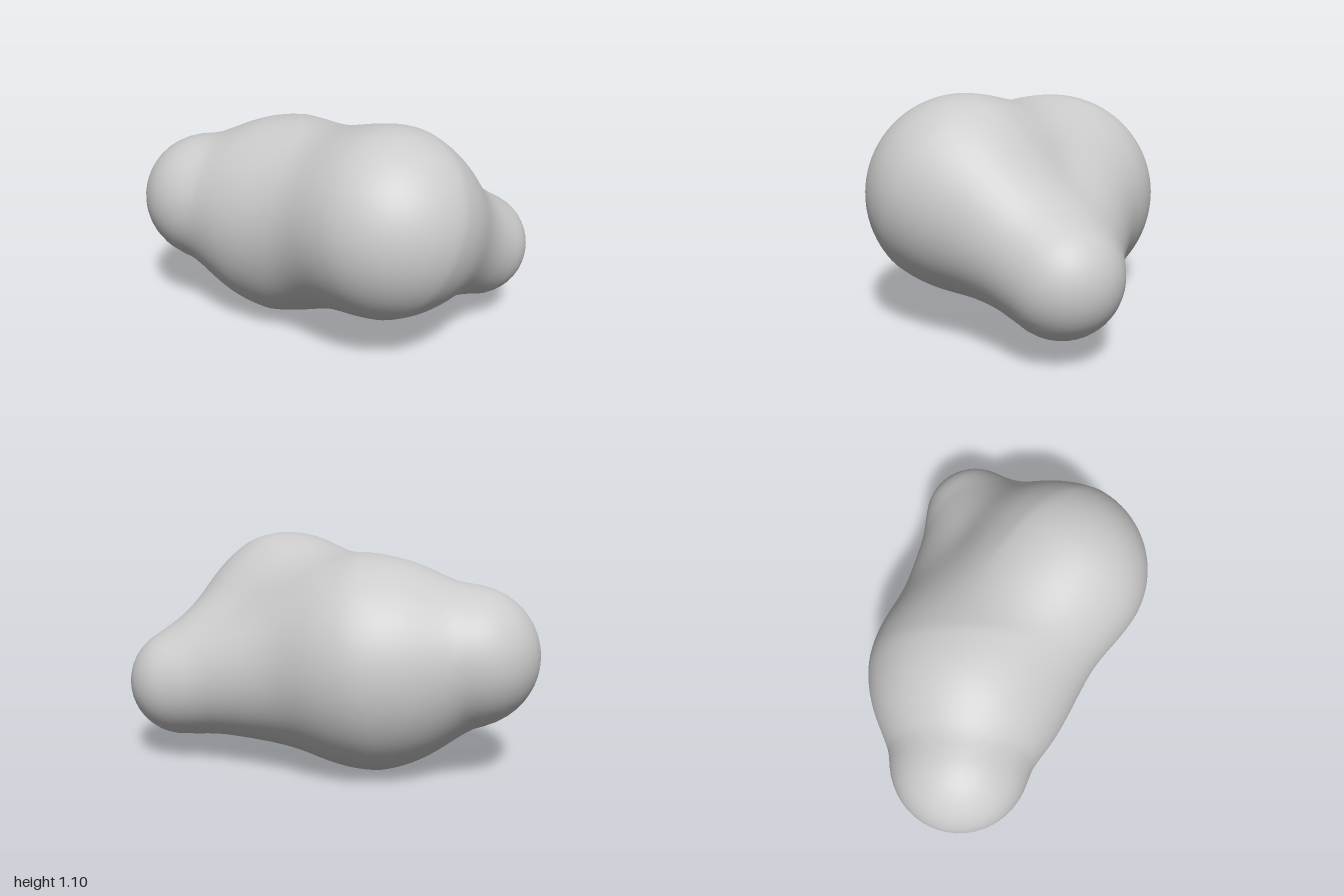
import * as THREE from 'three';
import { mergeVertices } from 'three/addons/utils/BufferGeometryUtils.js';

const lobe = (x, y, z, r) => ({ c: new THREE.Vector3(x, y, z), r });

// Four round lobes of the blob
const front = lobe(0.36, 0.64, 0.20, 0.43);
const middle = lobe(-0.22, 0.52, -0.14, 0.47);
const rightEnd = lobe(-0.67, 0.58, -0.12, 0.33);
const leftEnd = lobe(0.73, 0.385, -0.285, 0.24);

// Tapered links that fill the space between lobes
const LINKS = [[middle, rightEnd], [middle, front], [middle, leftEnd], [front, leftEnd]];
const BLEND = 0.045;
const CORE = new THREE.Vector3(0.1, 0.54, -0.06);

// Distance from a point to one tapered link
const axis = new THREE.Vector3();
const offset = new THREE.Vector3();
function linkDistance(p, [a, b]) {
  axis.subVectors(b.c, a.c);
  offset.subVectors(p, a.c);
  const t = THREE.MathUtils.clamp(offset.dot(axis) / axis.lengthSq(), 0, 1);
  return offset.addScaledVector(axis, -t).length() - THREE.MathUtils.lerp(a.r, b.r, t);
}

// All links melted together
function distance(p) {
  let sum = 0;
  for (const link of LINKS) sum += Math.exp(-linkDistance(p, link) / BLEND);
  return -BLEND * Math.log(sum);
}

// Shrink-wrap a fine sphere onto the melted links
function blobGeometry() {
  let geo = new THREE.IcosahedronGeometry(1, 28);
  geo.deleteAttribute('uv');
  geo.deleteAttribute('normal');
  geo = mergeVertices(geo, 1e-4);
  const pos = geo.attributes.position;
  const dir = new THREE.Vector3();
  const p = new THREE.Vector3();
  for (let i = 0; i < pos.count; i++) {
    dir.fromBufferAttribute(pos, i).normalize();
    let reach = 1.5;
    for (let step = 0; step < 80; step++) {
      p.copy(CORE).addScaledVector(dir, reach);
      reach -= 0.85 * distance(p);
    }
    p.copy(CORE).addScaledVector(dir, reach);
    pos.setXYZ(i, p.x, p.y, p.z);
  }
  geo.computeVertexNormals();
  return geo;
}

export function createModel() {
  const group = new THREE.Group();
  group.name = 'blob';
  const body = new THREE.Mesh(blobGeometry(), new THREE.MeshStandardMaterial({ color: 0xcccccc }));
  body.name = 'body';
  group.add(body);
  return group;
}
